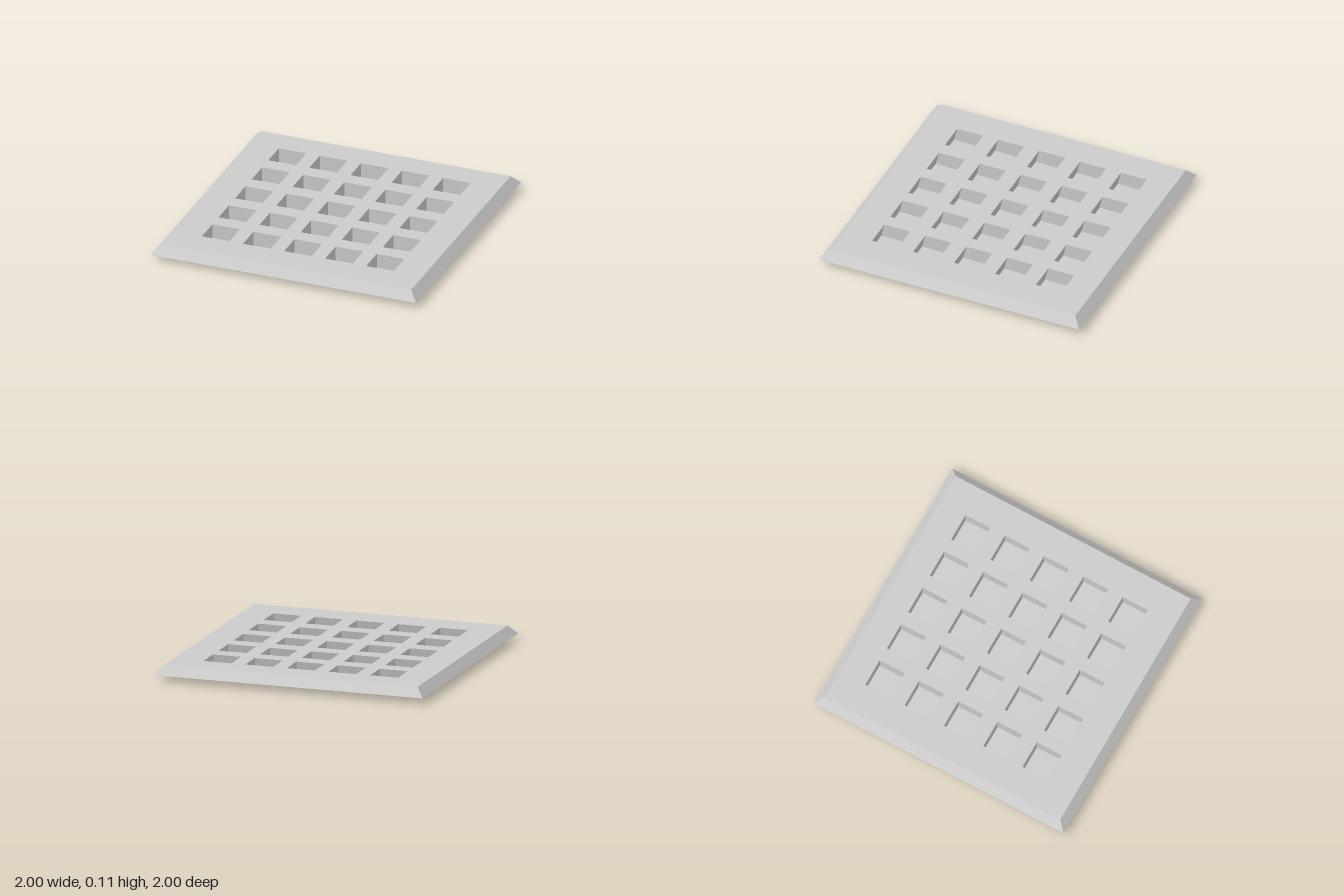
import * as THREE from 'three';

const TOP = 0.108, RIM = 0.042;      // heights of the top sheet and the lower rim edge
const HALF_TOP = 0.942;              // half width of the flat top
const W = 0.208, D = 0.199;          // pocket opening
const STEP_X = 0.31, STEP_Z = 0.315; // pocket spacing
const X0 = -0.002, Z0 = -0.011;      // centre of the pocket grid

const material = new THREE.MeshStandardMaterial({
  color: 0xcccccc, flatShading: true, side: THREE.DoubleSide,
});

// Open-topped pocket: the front wall leans forward and the floor dips to the back
function pocketGeometry() {
  const geo = new THREE.BoxGeometry(W, TOP, D);
  geo.translate(0, TOP / 2, 0);
  const pos = geo.attributes.position;
  for (let i = 0; i < pos.count; i++) {
    if (pos.getY(i) < 0.01 && pos.getZ(i) > 0) {
      pos.setY(i, 0.006);
      pos.setZ(i, D / 2 + 0.024);
    }
  }
  // leave out the top face
  const index = Array.from(geo.index.array);
  index.splice(12, 6);
  geo.setIndex(index);
  geo.clearGroups();
  geo.computeVertexNormals();
  return geo;
}

export function createModel() {
  const group = new THREE.Group();
  const add = (geometry, name) => {
    const mesh = new THREE.Mesh(geometry, material);
    mesh.name = name;
    group.add(mesh);
    return mesh;
  };

  // Top sheet with one hole per pocket (shape y becomes -z)
  const s = HALF_TOP;
  const sheet = new THREE.Shape([
    new THREE.Vector2(-s, -s), new THREE.Vector2(s, -s),
    new THREE.Vector2(s, s), new THREE.Vector2(-s, s),
  ]);

  // Pockets hanging below the sheet
  const pocket = pocketGeometry();
  for (let row = -2; row <= 2; row++) {
    for (let col = -2; col <= 2; col++) {
      const x = X0 + col * STEP_X, z = Z0 + row * STEP_Z;
      const w = W / 2, d = D / 2;
      sheet.holes.push(new THREE.Path([
        new THREE.Vector2(x - w, -z - d), new THREE.Vector2(x - w, -z + d),
        new THREE.Vector2(x + w, -z + d), new THREE.Vector2(x + w, -z - d),
      ]));
      add(pocket, 'pocket').position.set(x, 0, z);
    }
  }
  const top = new THREE.ShapeGeometry(sheet);
  top.rotateX(-Math.PI / 2);
  add(top, 'topSheet').position.y = TOP;

  // Sloping rim, open underneath
  const rim = new THREE.CylinderGeometry(
    HALF_TOP * Math.SQRT2, Math.SQRT2, TOP - RIM, 4, 1, true, Math.PI / 4);
  add(rim, 'slopingRim').position.y = (TOP + RIM) / 2;

  return group;
}
